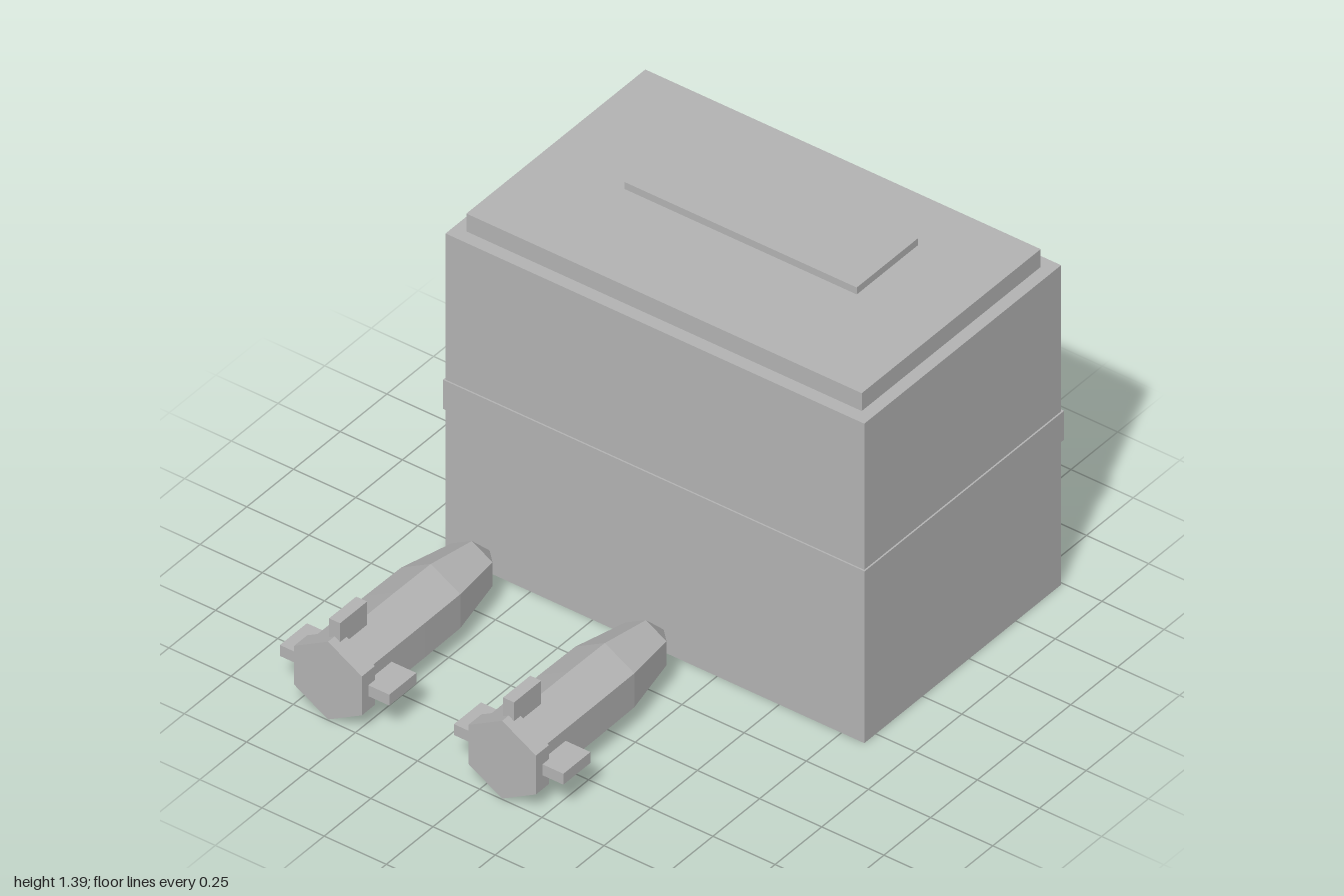
import * as THREE from 'three';

const grey = new THREE.MeshStandardMaterial({ color: 0xb4b4b4, flatShading: true });
grey.name = 'plain grey';

function add(parent, name, geometry) {
  const mesh = new THREE.Mesh(geometry, grey);
  mesh.name = name;
  parent.add(mesh);
  return mesh;
}

// Box given by its minimum and maximum corners
function box(parent, name, [x0, y0, z0], [x1, y1, z1]) {
  const mesh = add(parent, name, new THREE.BoxGeometry(x1 - x0, y1 - y0, z1 - z0));
  mesh.position.set((x0 + x1) / 2, (y0 + y1) / 2, (z0 + z1) / 2);
}

// Six-sided lathe with its axis along z and a corner pointing up
function hexLathe(parent, name, profile) {
  const points = profile.map(([r, z]) => new THREE.Vector2(r, z));
  const geometry = new THREE.LatheGeometry(points, 6).toNonIndexed();
  geometry.rotateX(Math.PI / 2);
  geometry.computeVertexNormals();
  add(parent, name, geometry);
}

function createRocket(x) {
  const rocket = new THREE.Group();
  rocket.name = 'rocket';
  rocket.position.set(x, 0.16, 0);

  // Pointed body, nose towards the crate
  hexLathe(rocket, 'rocketBody', [[0, 0.135], [0.096, 0.23], [0.137, 0.45], [0.139, 0.64], [0.139, 0.94]]);
  // Wider tail collar with closed ends
  hexLathe(rocket, 'tailCollar', [[0, 0.93], [0.157, 0.93], [0.157, 1], [0, 1]]);

  // Two side fins and one top fin
  for (const side of [-1, 1]) {
    const inner = side * 0.115, outer = side * 0.22;
    box(rocket, 'sideFin', [Math.min(inner, outer), -0.022, 0.82], [Math.max(inner, outer), 0.022, 0.965]);
  }
  box(rocket, 'topFin', [-0.022, 0.125, 0.82], [0.022, 0.22, 0.965]);
  return rocket;
}

export function createModel() {
  const model = new THREE.Group();
  model.name = 'crateWithRockets';

  // Crate with surrounding band, lid and raised plate
  box(model, 'crateBody', [-0.842, 0, -0.992], [0.842, 1.29, 0.062]);
  box(model, 'crateBand', [-0.848, 0.583, -1], [0.848, 0.7, 0.068]);
  box(model, 'lid', [-0.795, 1.29, -0.945], [0.795, 1.362, 0.013]);
  box(model, 'lidPlate', [-0.467, 1.362, -0.725], [0.467, 1.39, -0.397]);

  for (const x of [-0.61, 0.09]) model.add(createRocket(x));
  return model;
}
